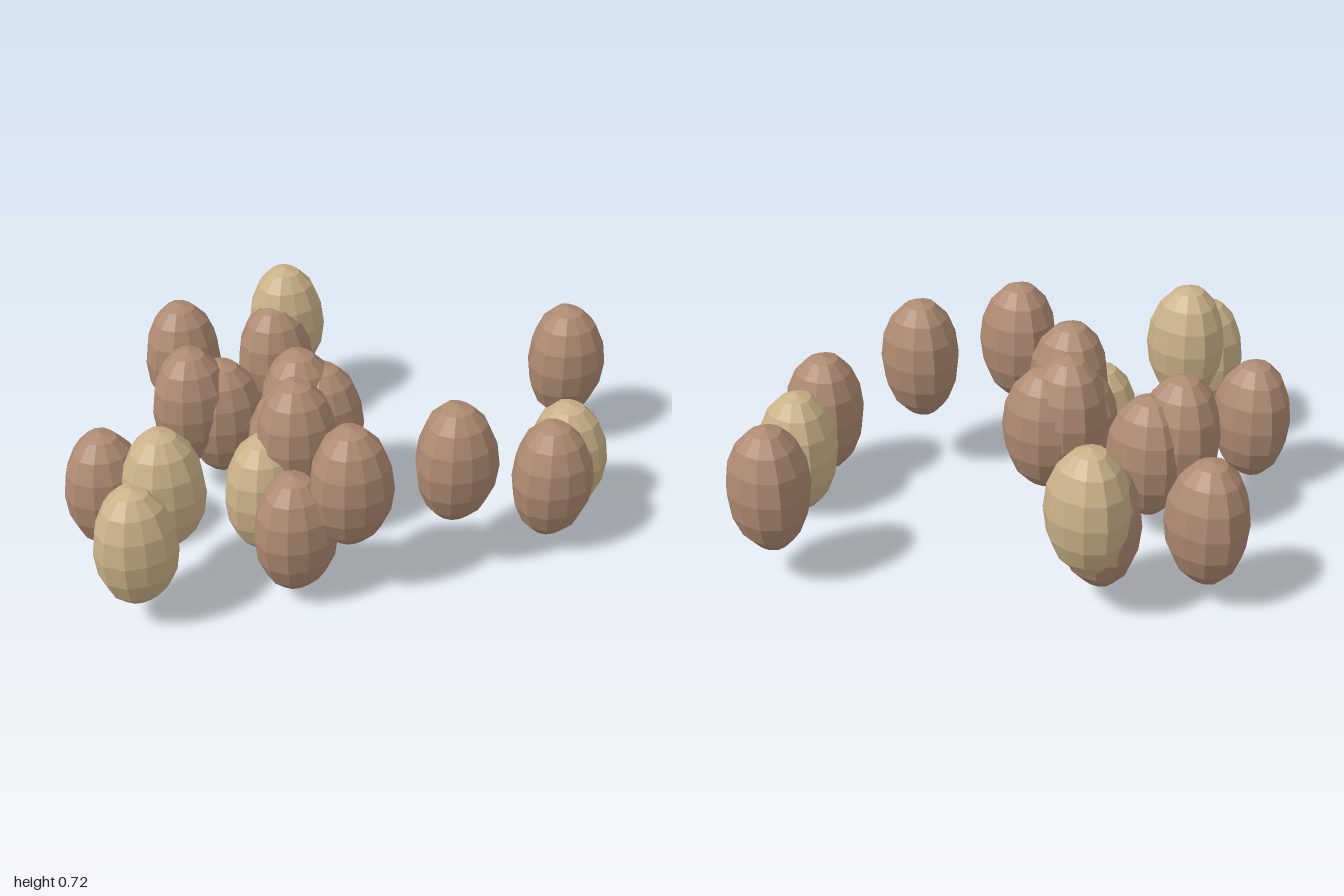
import * as THREE from 'three';

// Egg-shaped low-poly stone with a slightly three-sided cross-section
function makeStoneGeometry() {
  const g = new THREE.SphereGeometry(1, 12, 8);
  const p = g.attributes.position;
  const radius = 0.152, halfHeight = 0.243, bulge = 0.05;
  for (let i = 0; i < p.count; i++) {
    const x = p.getX(i), z = p.getZ(i);
    const r = radius * (1 + bulge * Math.cos(3 * Math.atan2(z, x)));
    p.setXYZ(i, x * r - radius * bulge, p.getY(i) * halfHeight, z * r);
  }
  g.computeVertexNormals();
  return g;
}

// Centres [x, y, z] of the stones
const BROWN = [
  [-0.73, 0.32, -0.555], [-0.36, 0.31, -0.61], [0.81, 0.37, -0.65],
  [0.79, 0.30, 0.06], [0.445, 0.47, 0.24], [0.09, 0.475, 0.44],
  [-0.105, 0.285, 0.485], [-0.845, 0.275, 0.305], [-0.595, 0.40, -0.095],
  [-0.48, 0.33, -0.14], [-0.175, 0.44, -0.08], [-0.085, 0.385, -0.085],
  [-0.15, 0.46, 0.155], [-0.21, 0.33, 0.02],
];
const TAN = [
  [-0.33, 0.425, -0.715], [0.84, 0.245, -0.16], [-0.565, 0.465, 0.535],
  [-0.635, 0.335, 0.70], [-0.26, 0.255, 0.23],
];

export function createModel() {
  const group = new THREE.Group();
  group.name = 'stoneCluster';
  const geometry = makeStoneGeometry();

  const brown = new THREE.MeshStandardMaterial({ color: 0xae8a72, flatShading: true });
  brown.name = 'brown';
  const tan = new THREE.MeshStandardMaterial({ color: 0xcab188, flatShading: true });
  tan.name = 'tan';

  const addStones = (centres, material, name) => {
    centres.forEach((c, i) => {
      const stone = new THREE.Mesh(geometry, material);
      stone.name = `${name}${i + 1}`;
      stone.position.set(...c);
      group.add(stone);
    });
  };
  addStones(BROWN, brown, 'brownStone');
  addStones(TAN, tan, 'tanStone');
  return group;
}
